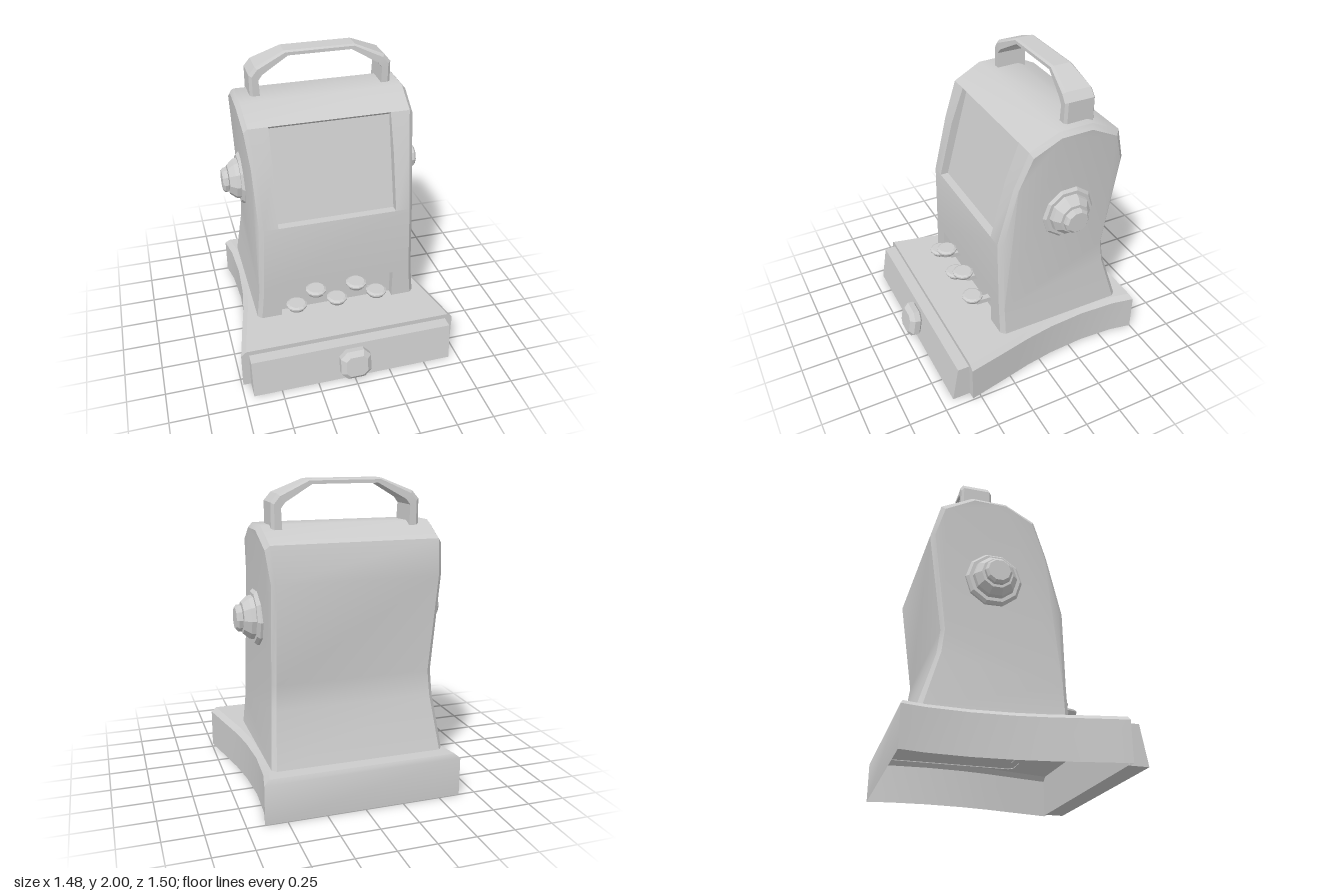
import * as THREE from 'three';
import { toCreasedNormals } from 'three/addons/utils/BufferGeometryUtils.js';

const casing = new THREE.MeshStandardMaterial({ color: 0xcccccc, side: THREE.DoubleSide });
casing.name = 'light grey casing';

function mesh(name, geometry, parent) {
  const m = new THREE.Mesh(geometry, casing);
  m.name = name;
  parent.add(m);
  return m;
}

// Collects quads and triangles, then creases the sharp edges
class Skin {
  constructor() { this.v = []; }
  tri(a, b, c) { this.v.push(...a, ...b, ...c); }
  quad(a, b, c, d) { this.tri(a, b, c); this.tri(a, c, d); }
  loft(rows, closed = false) {
    for (let i = 0; i < rows.length - 1; i++) {
      const p = rows[i], q = rows[i + 1], n = p.length;
      for (let j = 0; j < (closed ? n : n - 1); j++) {
        const k = (j + 1) % n;
        this.quad(q[j], p[j], p[k], q[k]);
      }
    }
  }
  build(crease = 0.5) {
    const g = new THREE.BufferGeometry();
    g.setAttribute('position', new THREE.Float32BufferAttribute(this.v, 3));
    g.computeVertexNormals();
    return toCreasedNormals(g, crease);
  }
}

// Flared base, open underneath
function baseGeometry() {
  const skin = new Skin();
  const sections = [[-0.75, 0.64], [-0.6, 0.612], [-0.35, 0.6], [-0.1, 0.615],
    [0.1, 0.645], [0.3, 0.688], [0.555, 0.74]];
  const rows = sections.map(([z, w], i) => {
    const zi = i === 0 ? z + 0.015 : z, t = w - 0.035;
    return [[w, 0, z], [w, 0.255, z], [t, 0.285, zi], [-t, 0.285, zi], [-w, 0.255, z], [-w, 0, z]];
  });
  skin.loft(rows);
  const b = rows[0], f = rows[rows.length - 1];
  skin.quad(b[0], b[5], b[4], b[1]);
  skin.quad(b[1], b[4], b[3], b[2]);
  skin.quad(f[5], f[0], f[1], f[4]);
  skin.quad(f[4], f[1], f[2], f[3]);
  return skin.build();
}

// Body outline as [z, y], up the front, over the top and down the back
const outline = [[0.255, 0.28], [0.255, 0.49], [0.255, 1.0], [0.155, 1.39], [0.065, 1.635],
  [-0.125, 1.73], [-0.35, 1.735], [-0.55, 1.64], [-0.61, 1.42], [-0.52, 0.785],
  [-0.54, 0.63], [-0.65, 0.28]];
const halfWidth = (y) => 0.495 + 0.045 * ((y - 1) / 0.73) ** 2;
const recessHalf = 0.4;

function bodyGeometry() {
  const skin = new Skin();
  const edge = (s, [z, y]) => [s * halfWidth(y), y, z];
  const side = (s, [z, y]) => [s * (halfWidth(y) + 0.027), y > 1.5 ? y - 0.03 : y, z + (-0.185 - z) * 0.065];
  for (let i = 0; i < outline.length - 1; i++) {
    const p = outline[i], q = outline[i + 1];
    const [l0, r0, l1, r1] = [edge(-1, p), edge(1, p), edge(-1, q), edge(1, q)];
    if (i === 0 || i === 2 || i === 3) {
      // leave the middle open for a recess
      const h = recessHalf;
      skin.quad(l0, [-h, p[1], p[0]], [-h, q[1], q[0]], l1);
      skin.quad([h, p[1], p[0]], r0, r1, [h, q[1], q[0]]);
    } else skin.quad(l0, r0, r1, l1);
    skin.quad(r0, side(1, p), side(1, q), r1);
    skin.quad(side(-1, p), l0, l1, side(-1, q));
  }
  // side walls
  const flat = outline.map((p) => { const c = side(1, p); return new THREE.Vector2(-c[2], c[1]); });
  for (const [a, b, c] of THREE.ShapeUtils.triangulateShape(flat, [])) {
    const cw = THREE.ShapeUtils.area([flat[a], flat[b], flat[c]]) < 0;
    const [m, n] = cw ? [c, b] : [b, c];
    skin.tri(side(1, outline[a]), side(1, outline[m]), side(1, outline[n]));
    skin.tri(side(-1, outline[a]), side(-1, outline[n]), side(-1, outline[m]));
  }
  return skin.build();
}

// Sunken panel: rim and floor points as [z, y] from bottom to top
function recessGeometry(rim, floor) {
  const skin = new Skin(), h = recessHalf;
  const at = (x, [z, y]) => [x, y, z];
  for (let i = 0; i < rim.length - 1; i++) {
    const [a, b, c, d] = [rim[i], rim[i + 1], floor[i], floor[i + 1]];
    skin.quad(at(-h, c), at(h, c), at(h, d), at(-h, d));
    skin.quad(at(-h, a), at(-h, c), at(-h, d), at(-h, b));
    skin.quad(at(h, c), at(h, a), at(h, b), at(h, d));
  }
  const n = rim.length - 1;
  skin.quad(at(-h, rim[0]), at(h, rim[0]), at(h, floor[0]), at(-h, floor[0]));
  skin.quad(at(-h, floor[n]), at(h, floor[n]), at(h, rim[n]), at(-h, rim[n]));
  return skin.build();
}

// Carrying handle: outer x, y, inner x, y, half depth
function handleGeometry() {
  const half = [[0.472, 1.66, 0.405, 1.66, 0.105], [0.472, 1.87, 0.412, 1.835, 0.102],
    [0.43, 1.92, 0.385, 1.87, 0.1], [0.235, 2.0, 0.21, 1.97, 0.072]];
  const path = [...half.map(([a, b, c, d, h]) => [-a, b, -c, d, h]), ...half.slice().reverse()];
  const rows = path.map(([ox, oy, ix, iy, h]) => {
    const mx = ox + (ix - ox) * 0.3, my = oy + (iy - oy) * 0.3, t = h - 0.015;
    return [[ox, oy, -t], [ox, oy, t], [mx, my, h], [ix, iy, h], [ix, iy, -h], [mx, my, -h]];
  });
  const skin = new Skin();
  skin.loft(rows, true);
  return skin.build(0.3);
}

// Turned shape with flat facets
function turned(points, sides) {
  const g = new THREE.LatheGeometry(points.map(([r, y]) => new THREE.Vector2(r, y)), sides).toNonIndexed();
  g.computeVertexNormals();
  return g;
}

function polygon(points) {
  return new THREE.Shape(points.map(([x, y]) => new THREE.Vector2(x, y)));
}

export function createModel() {
  const model = new THREE.Group();
  model.name = 'device';
  mesh('base', baseGeometry(), model);

  // sloping front panel of the base
  const panel = new THREE.ExtrudeGeometry(
    polygon([[-0.545, 0], [-0.675, 0], [-0.632, 0.252], [-0.545, 0.252]]), { depth: 1.376, bevelEnabled: false });
  panel.rotateY(Math.PI / 2).translate(-0.688, 0, 0);
  mesh('basePanel', panel, model);

  // chamfered square knob on the base panel
  const s = 0.073, c = 0.045;
  const knob = new THREE.ExtrudeGeometry(
    polygon([[-c, -s], [c, -s], [s, -c], [s, c], [c, s], [-c, s], [-s, c], [-s, -c]]),
    { depth: 0.04, bevelThickness: 0.028, bevelSize: 0.031, bevelSegments: 1 });
  const frontKnob = mesh('frontKnob', knob, model);
  frontKnob.position.set(0, 0.132, 0.668);
  frontKnob.rotation.x = -0.17;

  mesh('body', bodyGeometry(), model);
  mesh('screen', recessGeometry(outline.slice(2, 5), [[0.2, 1.0], [0.097, 1.39], [0.037, 1.612]]), model);
  mesh('buttonPanel', recessGeometry(outline.slice(0, 2), [[0.2, 0.28], [0.2, 0.49]]), model);

  const handle = mesh('handle', handleGeometry(), model);
  handle.position.set(0.012, 0, -0.3);

  // stepped knobs on both sides
  const steps = [[0, 0.48], [0.18, 0.48], [0.18, 0.555], [0.163, 0.572], [0.14, 0.572], [0.135, 0.6],
    [0.1, 0.64], [0.07, 0.64], [0.085, 0.645], [0.085, 0.668], [0.07, 0.682], [0, 0.682]];
  for (const side of [1, -1]) {
    const k = mesh(side > 0 ? 'leftKnob' : 'rightKnob', turned(steps, 10), model);
    k.rotation.z = -side * Math.PI / 2;
    k.position.set(0, 1.147, -0.207);
  }

  // round buttons on curved stems
  const cap = turned([[0, -0.012], [0.055, -0.012], [0.071, 0.012], [0.071, 0.022], [0.056, 0.031], [0, 0.031]], 12);
  const stem = new THREE.ExtrudeGeometry(
    polygon([[-0.35, 0], [-0.335, -0.035], [-0.295, -0.062], [-0.19, -0.068], [-0.19, -0.035], [-0.285, -0.03], [-0.312, 0]]),
    { depth: 0.04, bevelEnabled: false });
  stem.rotateY(Math.PI / 2).translate(-0.02, 0, 0);
  for (const [x, y] of [[-0.309, 0.4], [-0.174, 0.5], [-0.027, 0.4], [0.108, 0.5], [0.256, 0.4]]) {
    const button = new THREE.Group();
    button.name = 'button';
    button.position.set(x, y, 0);
    mesh('buttonCap', cap, button).position.z = 0.327;
    mesh('buttonStem', stem, button);
    model.add(button);
  }
  return model;
}
